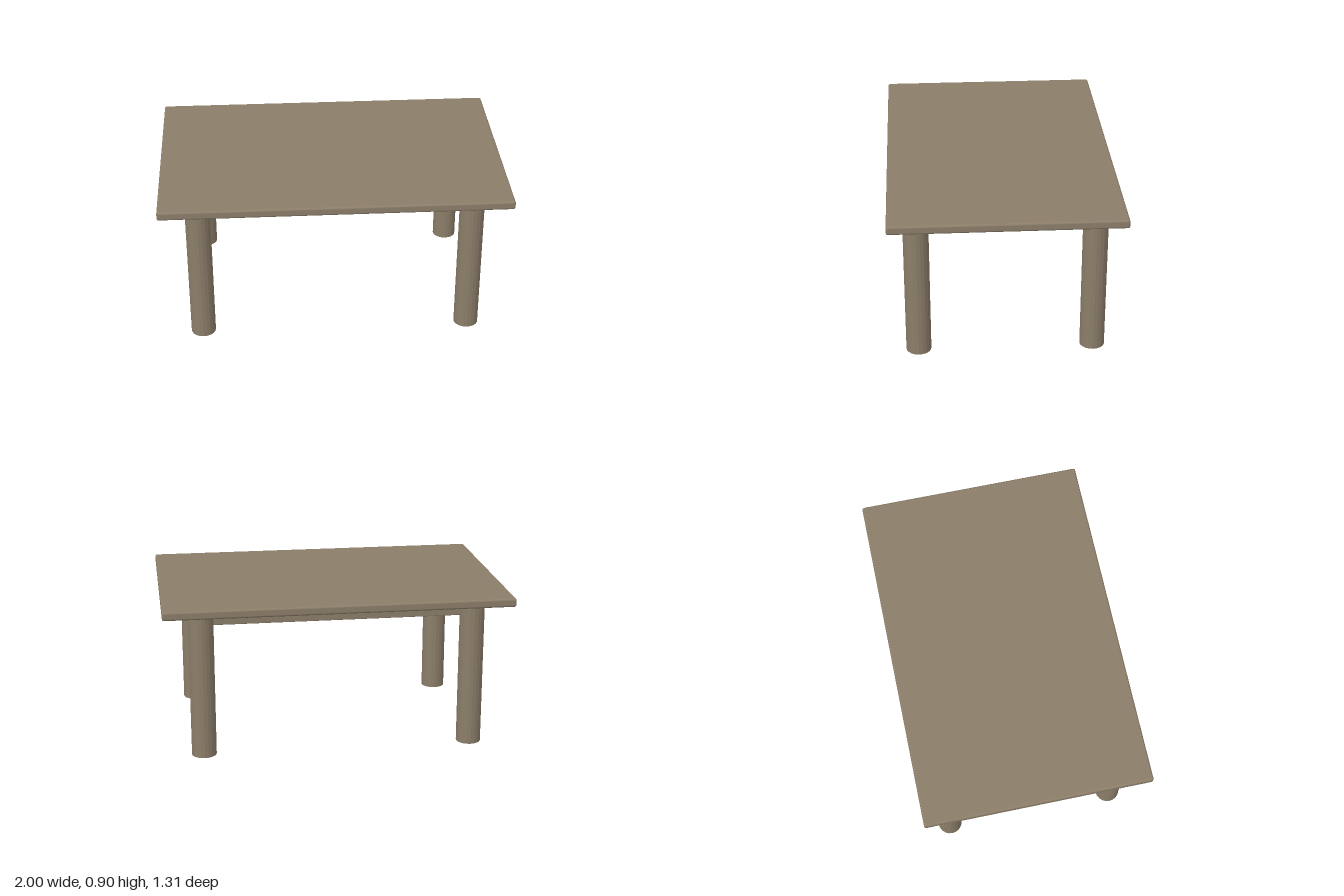
import * as THREE from 'three';
import { RoundedBoxGeometry } from 'three/addons/geometries/RoundedBoxGeometry.js';

export function createModel() {
  const table = new THREE.Group();
  table.name = 'table';
  const wood = new THREE.MeshStandardMaterial({ color: 0x8b7d69 });
  wood.name = 'brownWood';
  // same wood, faceted for the turned legs
  const legGeometry = new THREE.CylinderGeometry(0.0715, 0.0715, 0.856, 20).toNonIndexed();
  legGeometry.computeVertexNormals();

  const add = (name, geometry, x, y, z) => {
    const mesh = new THREE.Mesh(geometry, wood);
    mesh.name = name;
    mesh.position.set(x, y, z);
    table.add(mesh);
  };

  // softly rounded top
  add('tableTop', new RoundedBoxGeometry(2, 0.05, 1.31, 3, 0.012), 0, 0.88, 0);

  // four round legs, and a rail under each long edge
  const railGeometry = new RoundedBoxGeometry(1.5, 0.085, 0.04, 2, 0.004);
  for (const [end, z] of [['front', 1], ['back', -1]]) {
    add(end + 'LeftLeg', legGeometry, 0.781, 0.428, z * 0.498);
    add(end + 'RightLeg', legGeometry, -0.781, 0.428, z * 0.498);
    add(end + 'Rail', railGeometry, 0, 0.8165, z * 0.478);
  }
  return table;
}
